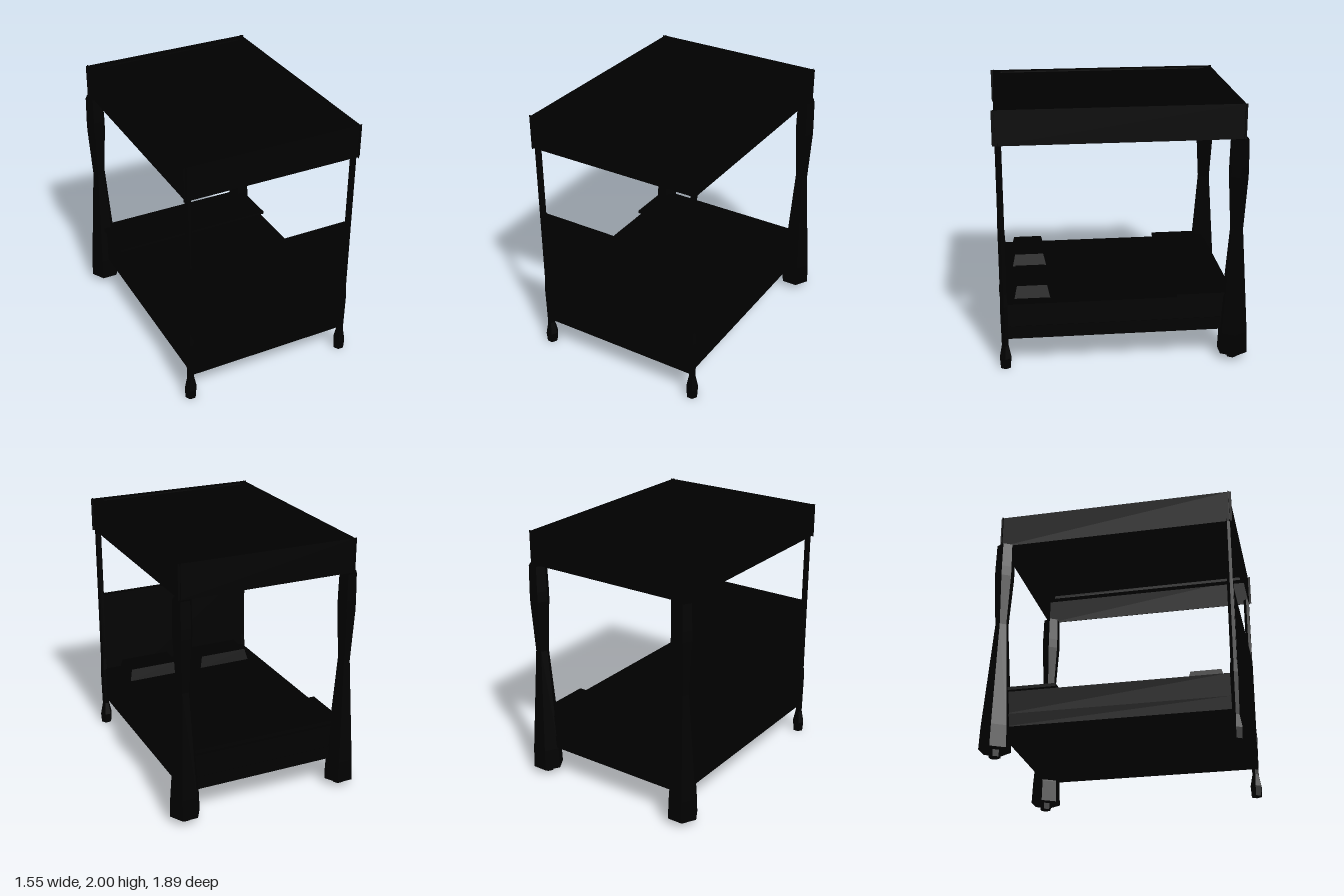
import * as THREE from 'three';

export function createModel() {
  const bed = new THREE.Group();
  bed.name = 'canopyBed';
  const black = new THREE.MeshStandardMaterial({ color: 0x000000, flatShading: true, side: THREE.DoubleSide });
  black.name = 'black';

  const add = (name, geometry, x = 0, y = 0, z = 0) => {
    const mesh = new THREE.Mesh(geometry, black);
    mesh.name = name;
    mesh.position.set(x, y, z);
    bed.add(mesh);
    return mesh;
  };
  // Box given by its lower and upper limits
  const box = (name, x0, x1, y0, y1, z0, z1) =>
    add(name, new THREE.BoxGeometry(x1 - x0, y1 - y0, z1 - z0), (x0 + x1) / 2, (y0 + y1) / 2, (z0 + z1) / 2);
  // Six-sided turned post from [radius, height] pairs
  const turned = (name, profile, x, z) =>
    add(name, new THREE.LatheGeometry(profile.map(p => new THREE.Vector2(...p)), 6, Math.PI / 6), x, 0, z);

  const slimPost = [[0, 0], [0.043, 0], [0.049, 0.08], [0.028, 0.18], [0.029, 0.23],
    [0.033, 0.5], [0.026, 0.6], [0.025, 1.76], [0, 1.76]];
  const thickPost = [[0.045, 0.05], [0.12, 0.05], [0.113, 0.22], [0.05, 1.05],
    [0.075, 1.46], [0.075, 1.54], [0.07, 1.74], [0, 1.74]];
  const foot = [[0, 0], [0.043, 0], [0.047, 0.06]];

  // Posts and canopy sides, mirrored left and right
  for (const s of [-1, 1]) {
    const side = s > 0 ? 'left' : 'right';
    turned(side + 'FrontPost', slimPost, s * 0.655, 0.9);
    turned(side + 'BackPost', thickPost, s * 0.655, -0.84);
    turned(side + 'BackFoot', foot, s * 0.655, -0.84);
    const x = s * 0.677;
    box(side + 'Valance', x - 0.002, x + 0.002, 1.74, 2, -0.883, 0.94);
    const r = s * 0.645;
    box(side + 'CanopyRail', r - 0.03, r + 0.03, 1.95, 2, -0.87, 0.92);

    // Pillow: a box with its top drawn in
    const g = new THREE.BoxGeometry(0.45, 0.095, 0.27);
    const p = g.attributes.position;
    for (let i = 0; i < p.count; i++) {
      if (p.getY(i) > 0) p.setXYZ(i, p.getX(i) * 0.9, p.getY(i), p.getZ(i) * 0.84);
    }
    g.computeVertexNormals();
    add(side + 'Pillow', g, s * 0.32, 0.553, 0.683);
  }

  // Canopy ends and roof
  for (const [name, z, inner] of [['front', 0.92, 0.89], ['back', -0.868, -0.838]]) {
    box(name + 'Valance', -0.695, 0.695, 1.74, 2, z - 0.002, z + 0.002);
    box(name + 'CanopyRail', -0.615, 0.615, 1.95, 2, inner - 0.03, inner + 0.03);
  }
  box('canopyRoof', -0.62, 0.62, 1.975, 1.99, -0.82, 0.87);

  // Bed body
  box('headboard', -0.655, 0.655, 0.22, 1.18, 0.878, 0.925);
  box('bedBase', -0.655, 0.655, 0.23, 0.33, -0.85, 0.88);
  box('mattress', -0.65, 0.65, 0.33, 0.507, -0.845, 0.878);
  box('blanket', -0.67, 0.67, 0.513, 0.537, -0.82, -0.4);

  return bed;
}
